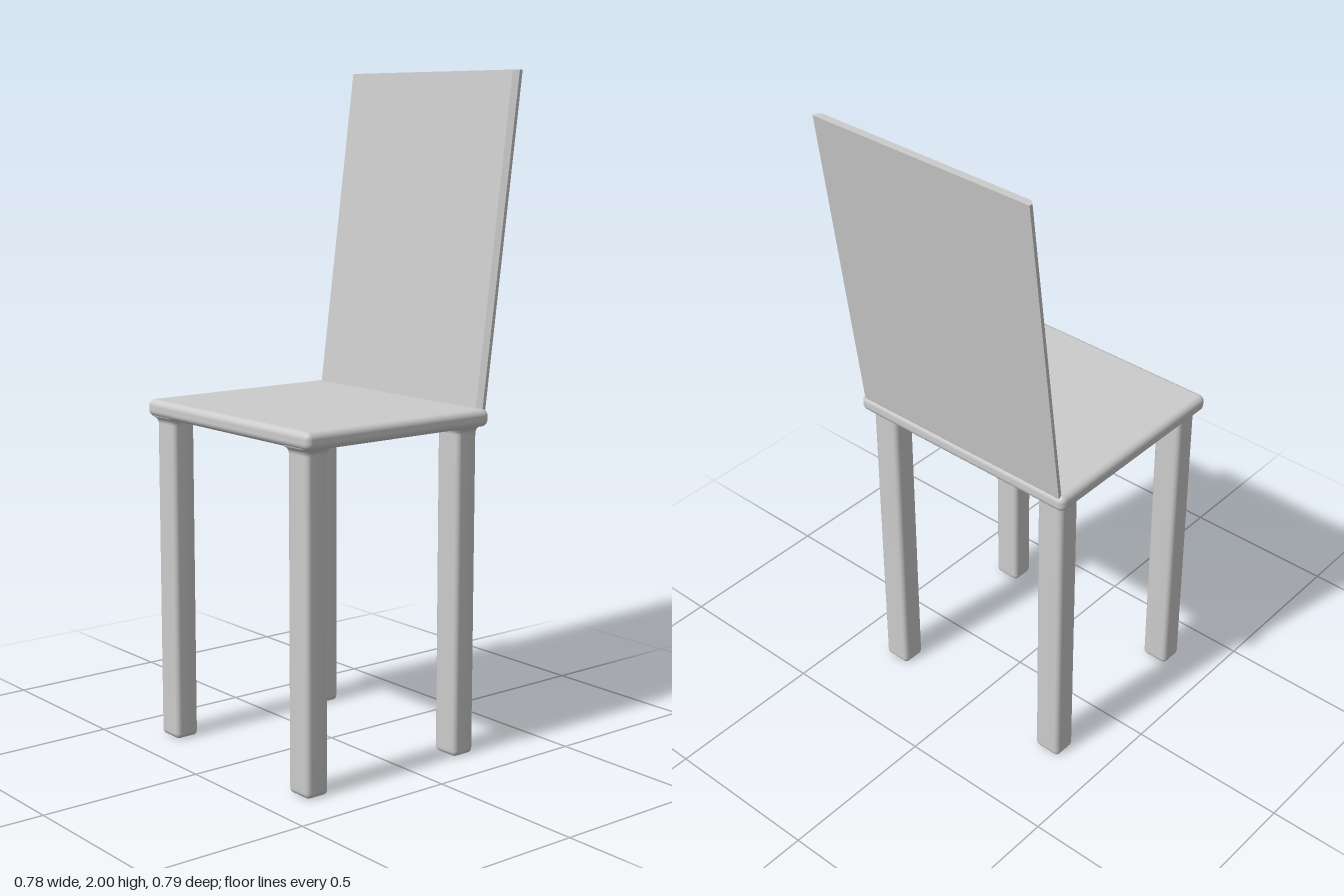
import * as THREE from 'three';
import { RoundedBoxGeometry } from 'three/addons/geometries/RoundedBoxGeometry.js';

// Rounded-rectangle post: each profile entry is [outward offset, height], bottom to top
function postGeometry(w, d, radius, profile) {
  const steps = 4, ringSize = 4 * (steps + 1);
  const pos = [0, profile[0][1], 0], index = [];
  for (const [offset, y] of profile) {
    const r = Math.max(radius + offset, 0.003);
    const cx = w / 2 + offset - r, cz = d / 2 + offset - r;
    for (let q = 0; q < 4; q++) {
      const sx = q === 0 || q === 3 ? 1 : -1, sz = q < 2 ? 1 : -1;
      for (let i = 0; i <= steps; i++) {
        const a = (q + i / steps) * Math.PI / 2;
        pos.push(sx * cx + r * Math.cos(a), y, sz * cz + r * Math.sin(a));
      }
    }
  }
  for (let i = 0; i < ringSize; i++) {
    const j = (i + 1) % ringSize;
    index.push(0, 1 + i, 1 + j);
    for (let k = 0; k < profile.length - 1; k++) {
      const a = 1 + k * ringSize + i, b = 1 + k * ringSize + j;
      index.push(a, a + ringSize, b, b, a + ringSize, b + ringSize);
    }
  }
  const geometry = new THREE.BufferGeometry();
  geometry.setAttribute('position', new THREE.Float32BufferAttribute(pos, 3));
  geometry.setIndex(index);
  geometry.computeVertexNormals();
  return geometry;
}

// Upright panel with chamfered front edges, sheared so that it leans backwards
function backrestGeometry(bottom, top) {
  const shape = new THREE.Shape([
    [-0.358, 0.247], [-0.373, 0.26], [-0.373, 0.271],
    [0.373, 0.271], [0.373, 0.26], [0.358, 0.247],
  ].map(([x, y]) => new THREE.Vector2(x, y)));
  const geometry = new THREE.ExtrudeGeometry(shape, { depth: top - bottom, bevelEnabled: false });
  geometry.rotateX(-Math.PI / 2).translate(0, bottom, 0);
  const p = geometry.attributes.position;
  for (let i = 0; i < p.count; i++) p.setZ(i, p.getZ(i) - (p.getY(i) - 1.035) * 0.133);
  geometry.computeVertexNormals();
  return geometry;
}

export function createModel() {
  const group = new THREE.Group();
  const material = new THREE.MeshStandardMaterial({ color: 0xcccccc });
  const add = (name, geometry, x = 0, y = 0, z = 0) => {
    const mesh = new THREE.Mesh(geometry, material);
    mesh.name = name;
    mesh.position.set(x, y, z);
    group.add(mesh);
  };

  // Seat slab with rounded edges
  add('seat', new RoundedBoxGeometry(0.78, 0.052, 0.67, 4, 0.02), 0, 1.01, 0.06);

  // Legs: softened feet, small fillet where they meet the seat
  const leg = postGeometry(0.09, 0.077, 0.015, [
    [-0.012, 0], [-0.005, 0.003], [-0.001, 0.009], [0, 0.016],
    [0, 0.966], [0.002, 0.974], [0.006, 0.981], [0.014, 0.986], [0.014, 0.99],
  ]);
  for (const [side, x] of [['Left', 0.32], ['Right', -0.32]]) {
    add('front' + side + 'Leg', leg, x, 0, 0.338);
    add('back' + side + 'Leg', leg, x, 0, -0.21);
  }

  // Leaning backrest, its foot sunk into the seat
  add('backrest', backrestGeometry(1.0, 2.0), 0, 0, 0);
  return group;
}
